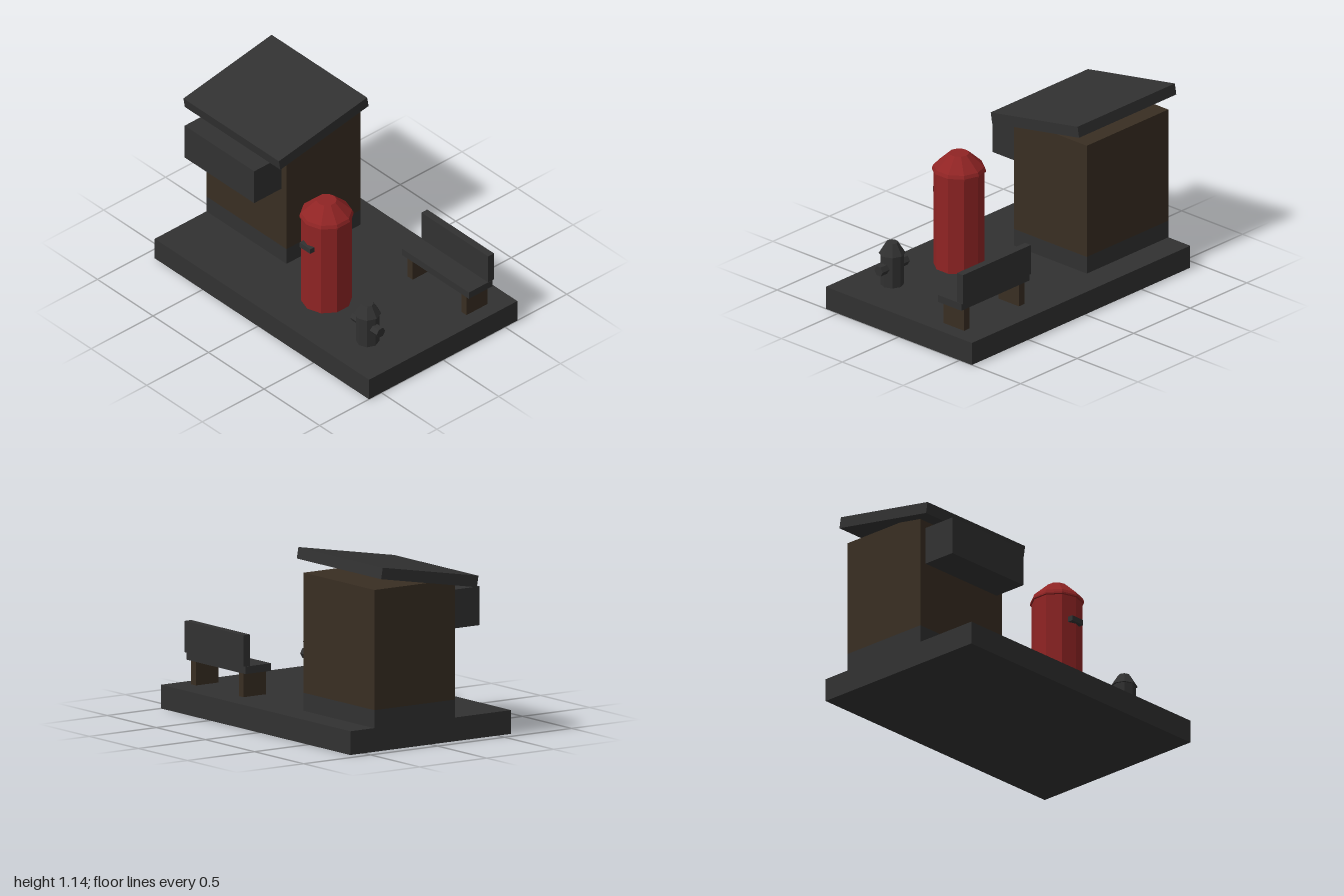
import * as THREE from 'three';

const charcoal = new THREE.MeshStandardMaterial({ color: 0x313131 });
charcoal.name = 'charcoal';
const brown = new THREE.MeshStandardMaterial({ color: 0x392e22 });
brown.name = 'dark brown';
const red = new THREE.MeshStandardMaterial({ color: 0x902424 });
red.name = 'red';

function mesh(name, geometry, material) {
  const m = new THREE.Mesh(geometry, material);
  m.name = name;
  return m;
}

// Box given by its minimum and maximum on each axis
function box(name, [x0, x1], [y0, y1], [z0, z1], material) {
  const m = mesh(name, new THREE.BoxGeometry(x1 - x0, y1 - y0, z1 - z0), material);
  m.position.set((x0 + x1) / 2, (y0 + y1) / 2, (z0 + z1) / 2);
  return m;
}

// Faceted solid of revolution with flat-shaded sides
function faceted(name, profile, sides, material) {
  const points = profile.map(([r, y]) => new THREE.Vector2(r, y));
  const g = new THREE.LatheGeometry(points, sides).toNonIndexed();
  g.computeVertexNormals();
  return mesh(name, g, material);
}

function group(name, ...parts) {
  const g = new THREE.Group();
  g.name = name;
  g.add(...parts);
  return g;
}

const GROUND = 0.145;

function createKiosk() {
  const x = [-0.93, -0.21], z = [-0.42, 0.18];
  const roof = mesh('roof', new THREE.BoxGeometry(0.86, 0.07, 0.725), charcoal);
  roof.position.set(-0.57, 1.038, -0.058);
  roof.rotation.x = THREE.MathUtils.degToRad(10);
  return group('kiosk',
    box('plinth', x, [GROUND, 0.255], z, charcoal),
    box('walls', x, [0.255, 0.99], z, brown),
    box('signBox', [-0.883, -0.257], [0.68, 0.917], [0.18, 0.4], charcoal),
    roof);
}

function createPostBox() {
  const body = faceted('body', [[0, GROUND], [0.155, GROUND], [0.155, 0.765]], 10, red);
  const cap = faceted('cap', [
    [0.155, 0.763], [0.164, 0.766], [0.164, 0.776],
    [0.155, 0.797], [0.062, 0.882], [0, 0.882],
  ], 10, red);
  const slot = box('slot', [-0.05, 0.046], [0.587, 0.621], [0.12, 0.173], charcoal);
  const g = group('postBox', body, cap, slot);
  g.position.set(0.213, 0, 0.237);
  return g;
}

function createHydrant() {
  const body = faceted('body', [[0, GROUND], [0.071, GROUND], [0.071, 0.352]], 8, charcoal);
  const bonnet = faceted('bonnet', [[0, 0.35], [0.082, 0.35], [0.037, 0.423], [0, 0.423]], 8, charcoal);
  // One hexagonal bar forms both side outlets
  const nozzles = mesh('sideOutlets', new THREE.CylinderGeometry(0.034, 0.034, 0.24, 6).toNonIndexed(), charcoal);
  nozzles.geometry.computeVertexNormals();
  nozzles.rotation.z = Math.PI / 2;
  nozzles.position.y = 0.267;
  const g = group('hydrant', body, bonnet, nozzles);
  g.position.set(0.696, 0, 0.338);
  return g;
}

function createBench() {
  const x = [0.336, 0.937];
  const g = group('bench',
    box('seat', x, [0.292, 0.338], [-0.455, -0.264], charcoal),
    box('backrest', x, [0.339, 0.531], [-0.468, -0.42], charcoal));
  for (const [name, lx] of [['rightLeg', 0.37], ['leftLeg', 0.855]]) {
    g.add(box(name, [lx, lx + 0.047], [GROUND, 0.292], [-0.445, -0.277], brown));
  }
  return g;
}

export function createModel() {
  return group('streetCorner',
    box('pavement', [-0.93, 1], [0, GROUND], [-0.6, 0.6], charcoal),
    createKiosk(), createPostBox(), createHydrant(), createBench());
}
